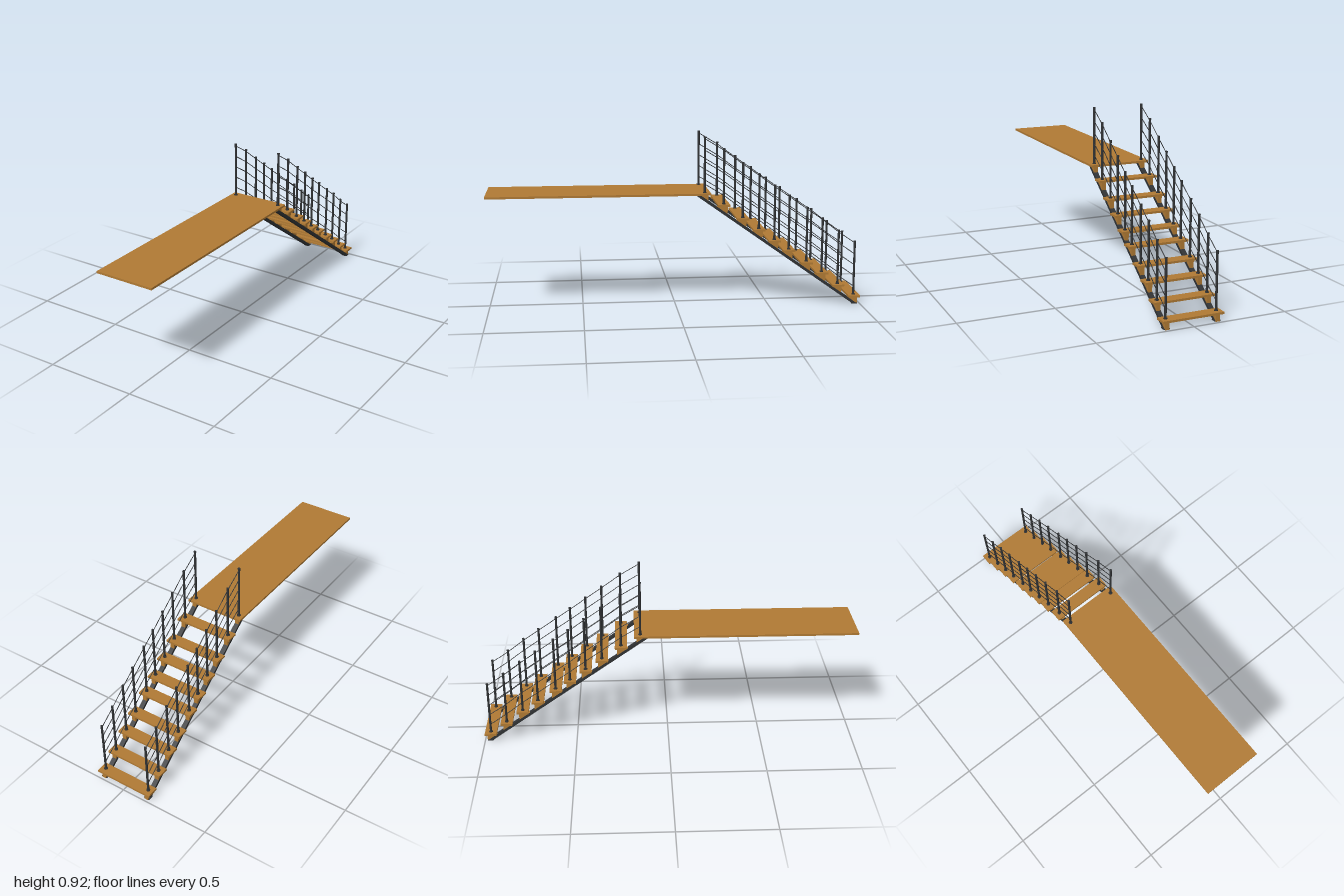
import * as THREE from 'three';

const wood = new THREE.MeshStandardMaterial({ color: 0xb07a34 });
const steel = new THREE.MeshStandardMaterial({ color: 0x303234 });

// Centre z and centre height of every tread, lowest first; the last is the landing edge
const STEPS = [
  [-0.967, 0.042], [-0.877, 0.104], [-0.787, 0.174], [-0.702, 0.233], [-0.604, 0.302],
  [-0.525, 0.356], [-0.440, 0.418], [-0.352, 0.480], [-0.250, 0.555], [-0.148, 0.617],
];
const THICK = 0.011, WIDTH = 0.324, TREAD = 0.064, SIDE_X = 0.135;
const POST_H = 0.298, BEAM_W = 0.025, SLOPE = 0.711, BEAM_Z0 = -0.985;

function add(group, name, geometry, material, x = 0, y = 0, z = 0) {
  const mesh = new THREE.Mesh(geometry, material);
  mesh.name = name;
  mesh.position.set(x, y, z);
  group.add(mesh);
  return mesh;
}

// Side outline given as [z, y] points, extruded across x and centred
function sidePlate(points, width) {
  const shape = new THREE.Shape(points.map(([z, y]) => new THREE.Vector2(z, y)));
  const geo = new THREE.ExtrudeGeometry(shape, { depth: width, bevelEnabled: false });
  geo.translate(0, 0, -width / 2);
  return geo.rotateY(-Math.PI / 2);
}

// Thin round bar between two points
function bar(a, b, radius) {
  const geo = new THREE.CylinderGeometry(radius, radius, a.distanceTo(b), 6);
  const dir = b.clone().sub(a).normalize();
  geo.applyQuaternion(new THREE.Quaternion().setFromUnitVectors(new THREE.Vector3(0, 1, 0), dir));
  const mid = a.clone().add(b).multiplyScalar(0.5);
  return geo.translate(mid.x, mid.y, mid.z);
}

function createSide(x) {
  const side = new THREE.Group();
  side.name = x > 0 ? 'leftSide' : 'rightSide';

  // Sloping beam with its ends cut level
  const top = 0.61;
  add(side, 'stringer', sidePlate([
    [BEAM_Z0, 0], [BEAM_Z0 + 0.025, 0],
    [BEAM_Z0 + 0.025 + top / SLOPE, top], [BEAM_Z0 + top / SLOPE, top],
  ], BEAM_W), steel, x);
  add(side, 'footPlate', new THREE.BoxGeometry(0.032, 0.004, 0.03), steel, x, 0.002, -0.97);

  const postGeo = new THREE.CylinderGeometry(0.006, 0.006, POST_H, 12);
  const collarGeo = new THREE.CylinderGeometry(0.010, 0.010, 0.004, 12);
  const capGeo = new THREE.CylinderGeometry(0.007, 0.007, 0.006, 12);
  STEPS.forEach(([z, y], i) => {
    // Wedge carrying the tread on the beam
    const under = y - THICK / 2;
    const back = BEAM_Z0 + under / SLOPE, front = z - 0.02;
    add(side, 'wedge', sidePlate([
      [back, under], [front, under], [front, (front - BEAM_Z0) * SLOPE],
    ], BEAM_W * 0.9), wood, x);

    // Railing post
    const base = y + THICK / 2;
    add(side, 'post', postGeo, steel, x, base + POST_H / 2, z);
    add(side, 'postCollar', collarGeo, steel, x, base + 0.002, z);
    add(side, 'postCap', capGeo, steel, x, base + POST_H - 0.003, z);

    // Five wires to the next post
    if (i + 1 < STEPS.length) {
      const [z2, y2] = STEPS[i + 1];
      for (let k = 0; k < 5; k++) {
        const h = 0.052 + k * 0.06;
        add(side, 'railWire', bar(
          new THREE.Vector3(x, y + h, z), new THREE.Vector3(x, y2 + h, z2), 0.002), steel);
      }
    }
  });
  return side;
}

export function createModel() {
  const model = new THREE.Group();
  model.name = 'staircase';

  // Treads
  const treadGeo = new THREE.BoxGeometry(WIDTH, THICK, TREAD);
  STEPS.slice(0, -1).forEach(([z, y]) => add(model, 'tread', treadGeo, wood, 0, y, z));

  // Long landing platform, whose near edge is the top step
  const [zTop, yTop] = STEPS[STEPS.length - 1];
  const start = zTop - TREAD / 2;
  add(model, 'landing', new THREE.BoxGeometry(WIDTH, THICK, 1 - start), wood, 0, yTop, (1 + start) / 2);

  for (const s of [-1, 1]) model.add(createSide(s * SIDE_X));
  return model;
}
